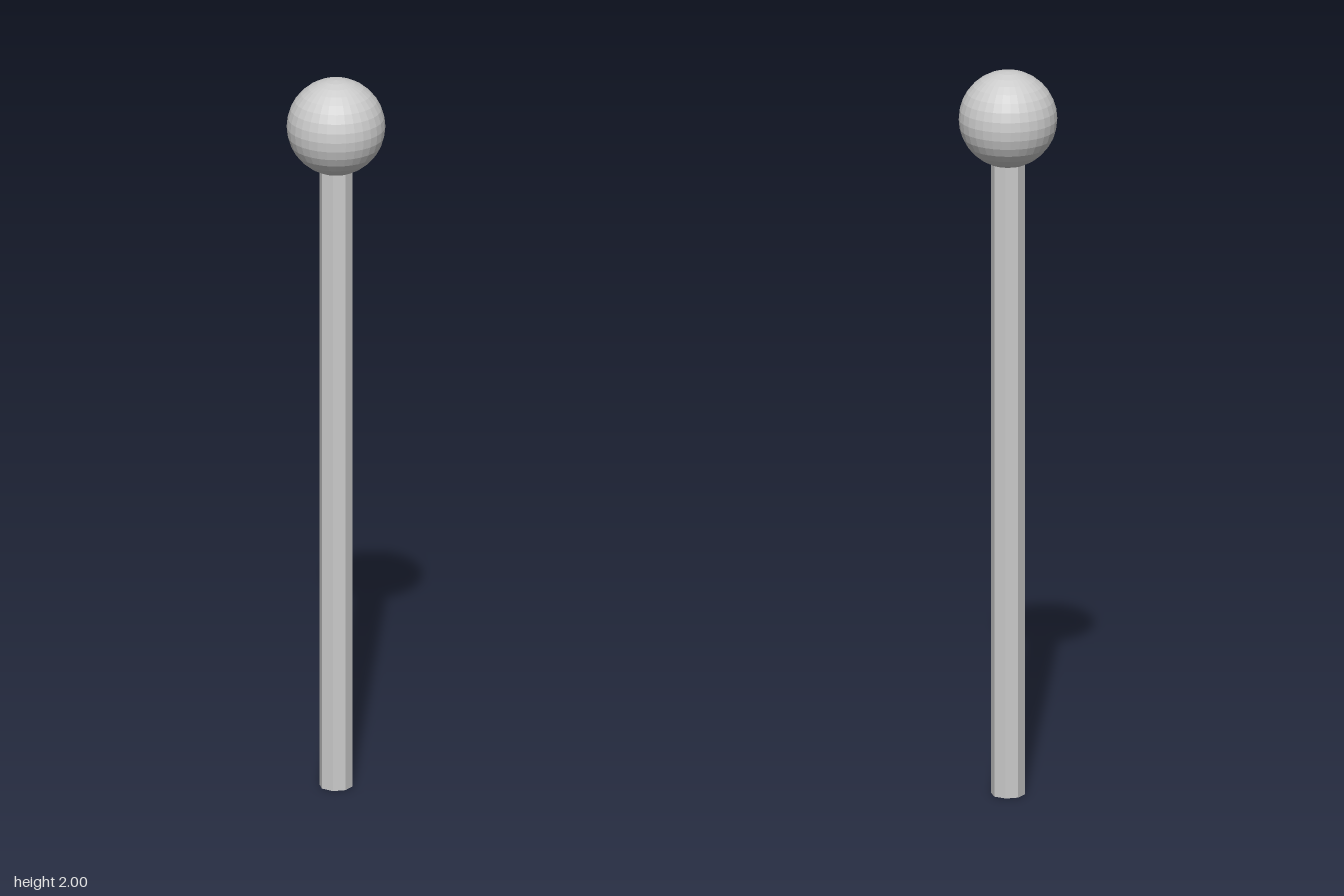
import * as THREE from 'three';

export function createModel() {
  const group = new THREE.Group();
  const material = new THREE.MeshStandardMaterial({ color: 0xcccccc, flatShading: true });
  const ballRadius = 0.131;
  const ballY = 2 - ballRadius;
  const poleHeight = 1.76;

  // Eight-sided pole, its top end sunk just inside the ball
  const pole = new THREE.Mesh(new THREE.CylinderGeometry(0.045, 0.045, poleHeight, 8), material);
  pole.name = 'pole';
  pole.position.y = poleHeight / 2;

  // Round knob on top
  const ball = new THREE.Mesh(new THREE.SphereGeometry(ballRadius, 32, 16), material);
  ball.name = 'ball';
  ball.position.y = ballY;

  group.add(pole, ball);
  return group;
}
